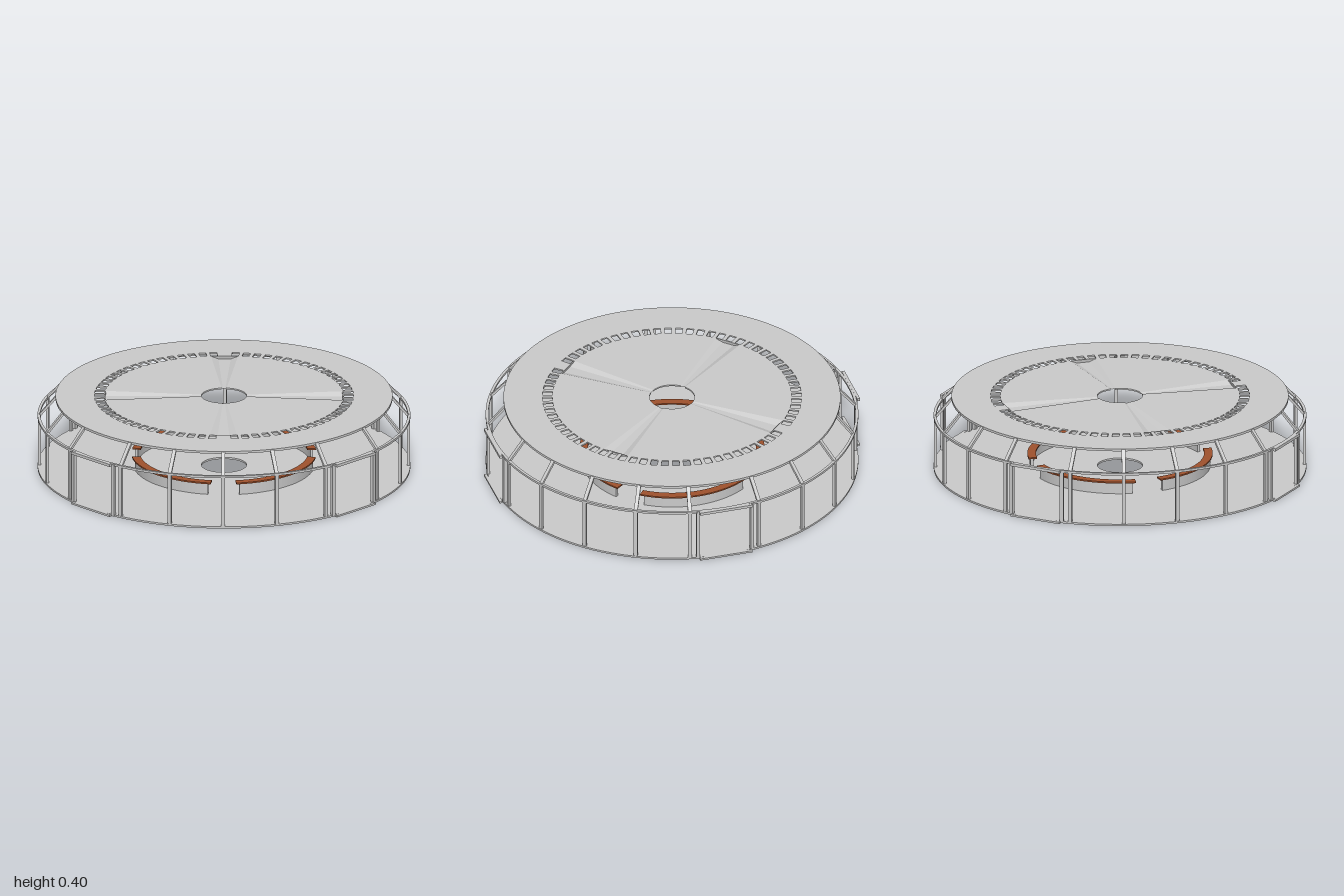
import * as THREE from 'three';

const grey = new THREE.MeshStandardMaterial({ color: 0xcccccc, side: THREE.DoubleSide });
const wood = new THREE.MeshStandardMaterial({ color: 0xa0522d });
const rad = THREE.MathUtils.degToRad;

// Closed outline of a ring sector, angles in degrees
function sectorPoints(r0, r1, a0, a1, step = 2.5) {
  const n = Math.max(1, Math.ceil((a1 - a0) / step));
  const outer = [], inner = [];
  for (let i = 0; i <= n; i++) {
    const a = rad(a0 + (a1 - a0) * i / n);
    outer.push(new THREE.Vector2(r1 * Math.cos(a), r1 * Math.sin(a)));
    inner.unshift(new THREE.Vector2(r0 * Math.cos(a), r0 * Math.sin(a)));
  }
  return outer.concat(inner);
}

// Horizontal slab between two heights
function slab(name, shape, y0, y1, material = grey) {
  const geo = new THREE.ExtrudeGeometry(shape, { depth: y1 - y0, bevelEnabled: false, curveSegments: 72 });
  geo.rotateX(-Math.PI / 2);
  geo.translate(0, y0, 0);
  const mesh = new THREE.Mesh(geo, material);
  mesh.name = name;
  return mesh;
}

function annulus(r0, r1) {
  const shape = new THREE.Shape().absarc(0, 0, r1, 0, Math.PI * 2, false);
  shape.holes.push(new THREE.Path().absarc(0, 0, r0, 0, Math.PI * 2, true));
  return shape;
}

const sector = (r0, r1, a0, a1) => new THREE.Shape(sectorPoints(r0, r1, a0, a1));

// Upright bar from (r0, y0) to (r1, y1), turned about the centre
function bar(name, angle, r0, y0, r1, y1, width, depth) {
  const mesh = new THREE.Mesh(new THREE.BoxGeometry(width, Math.hypot(r1 - r0, y1 - y0), depth), grey);
  mesh.position.set(0, (y0 + y1) / 2, (r0 + r1) / 2);
  mesh.rotation.x = Math.atan2(r1 - r0, y1 - y0);
  const pivot = new THREE.Group();
  pivot.name = name;
  pivot.rotation.y = rad(angle);
  pivot.add(mesh);
  return pivot;
}

// Shallow tapering trough between two roof quarters
function trough(angle) {
  const profile = [[-6.5, 0], [-3, 1], [3, 1], [6.5, 0]];
  const point = (r, [offset, depth]) => {
    const a = rad(angle + offset);
    return [r * Math.cos(a), 0.4 - depth * r * 0.026, -r * Math.sin(a)];
  };
  const pos = [];
  for (let i = 0; i < 3; i++) {
    const a = point(0.12, profile[i]), b = point(0.632, profile[i]);
    const c = point(0.632, profile[i + 1]), d = point(0.12, profile[i + 1]);
    pos.push(...a, ...b, ...c, ...a, ...c, ...d);
  }
  // outer end wall
  const [a, b, c, d] = profile.map(p => point(0.632, p));
  pos.push(...a, ...c, ...b, ...a, ...d, ...c);
  const geo = new THREE.BufferGeometry();
  geo.setAttribute('position', new THREE.Float32BufferAttribute(pos, 3));
  geo.computeVertexNormals();
  const mesh = new THREE.Mesh(geo, grey);
  mesh.name = 'roofTrough';
  return mesh;
}

export function createModel() {
  const model = new THREE.Group();
  model.name = 'roundPavilion';

  // Floor and wall rings
  model.add(slab('floor', annulus(0.12, 0.99), 0, 0.01));
  model.add(slab('wallTopRing', annulus(0.975, 0.99), 0.283, 0.295));
  model.add(slab('roofRim', annulus(0.883, 0.895), 0.387, 0.4));

  // Outer roof with a ring of slots, solid at two diagonals
  const roof = annulus(0.63, 0.888);
  for (let a = 0; a < 360; a += 5) {
    if (a % 180 === 135) continue;
    roof.holes.push(new THREE.Path(sectorPoints(0.636, 0.688, a - 1.6, a + 1.6).reverse()));
  }
  model.add(slab('outerRoof', roof, 0.392, 0.4));

  for (let q = 0; q < 4; q++) {
    const mid = q * 90;
    // Inner roof quarters and troughs
    model.add(slab('innerRoofQuarter', sector(0.12, 0.632, mid - 38.5, mid + 38.5), 0.392, 0.4));
    model.add(trough(mid + 45));

    // Wall posts and sloping rafters
    for (let i = 0; i < 5; i++) {
      const a = mid + 11.25 + i * 16.875;
      model.add(bar('wallPost', a, 0.98, 0.005, 0.98, 0.29, 0.02, 0.014));
      model.add(bar('rafter', a, 0.982, 0.286, 0.887, 0.396, 0.02, 0.012));
    }

    // Door jambs, header and sill
    for (const s of [-1, 1]) {
      model.add(bar('doorJamb', mid + s * 8.7, 0.985, 0.005, 0.985, 0.29, 0.02, 0.016));
    }
    model.add(bar('doorHeader', mid, 0.992, 0.281, 0.992, 0.296, 0.29, 0.016));
    model.add(bar('doorSill', mid, 0.992, 0, 0.992, 0.01, 0.29, 0.016));

    // Curved counter with wooden top
    model.add(slab('counterFront', sector(0.465, 0.48, mid - 35, mid + 35), 0.002, 0.072));
    model.add(slab('counterTop', sector(0.447, 0.492, mid - 37, mid + 37), 0.071, 0.079, wood));
  }
  return model;
}
